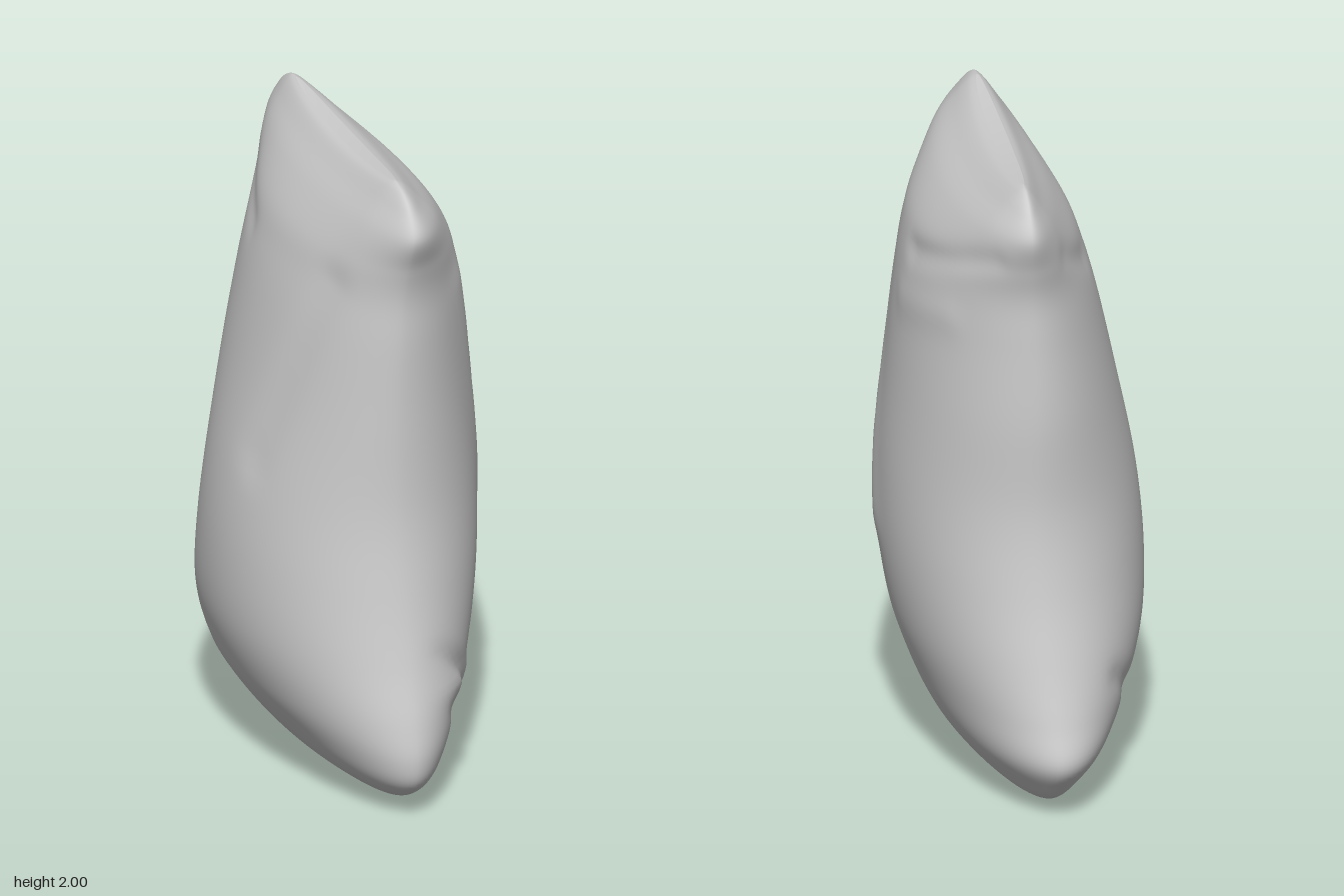
import * as THREE from 'three';

// Outline by height: [y, +x reach, -x reach, +z reach, -z reach]
const ROWS = [
  [0, 0.03, 0.03, 0.33, 0.33],
  [0.012, 0.07, 0.07, 0.44, 0.43],
  [0.045, 0.125, 0.13, 0.59, 0.57],
  [0.105, 0.19, 0.205, 0.685, 0.645],
  [0.19, 0.25, 0.275, 0.712, 0.7],
  [0.31, 0.305, 0.345, 0.695, 0.67],
  [0.48, 0.36, 0.395, 0.65, 0.62],
  [0.7, 0.392, 0.402, 0.605, 0.565],
  [0.95, 0.393, 0.376, 0.572, 0.532],
  [1.25, 0.367, 0.315, 0.568, 0.54],
  [1.5, 0.34, 0.26, 0.572, 0.533],
  [1.65, 0.317, 0.218, 0.575, 0.532],
  [1.76, 0.285, 0.18, 0.598, 0.555],
  [1.87, 0.215, 0.115, 0.635, 0.583],
  [1.945, 0.135, 0.055, 0.585, 0.54],
  [1.985, 0.085, 0.02, 0.52, 0.48],
  [2, 0.05, -0.005, 0.45, 0.42],
];

// Shallow creases: [side, z0, y0, z1, y1, width, push along x]
const FOLDS = [
  [1, 0.61, 0.5, 0.46, 0.35, 0.03, -0.018],
  [1, 0.62, 0.38, 0.3, 0.33, 0.04, 0.014],
  [1, 0.56, 0.3, 0.42, 0.22, 0.035, -0.012],
  [1, -0.08, 1.66, -0.5, 1.78, 0.04, -0.012],
  [1, -0.05, 1.5, -0.35, 1.55, 0.05, 0.006],
  [1, 0.36, 1.6, 0.1, 0.75, 0.08, 0.012],
  [-1, -0.5, 0.4, -0.3, 0.28, 0.04, -0.012],
  [-1, 0.38, 1.65, 0.2, 1.05, 0.07, -0.01],
  [-1, -0.2, 1.65, -0.42, 1.75, 0.045, -0.008],
];

// Cubic interpolation of the outline
function outline(t) {
  const f = t * (ROWS.length - 1);
  const i = Math.min(Math.floor(f), ROWS.length - 2);
  const u = f - i;
  const at = (k) => ROWS[Math.max(0, Math.min(ROWS.length - 1, k))];
  return ROWS[0].map((_, c) => {
    const [a, b, d, e] = [at(i - 1)[c], at(i)[c], at(i + 1)[c], at(i + 2)[c]];
    return b + 0.5 * u * (d - a + u * (2 * a - 5 * b + 4 * d - e + u * (3 * (b - d) + e - a)));
  });
}

// Smooth bump around a line across one broad side
function foldOffset(side, z, y) {
  let sum = 0;
  for (const [s, z0, y0, z1, y1, width, push] of FOLDS) {
    if (s !== side) continue;
    const dz = z1 - z0, dy = y1 - y0;
    const k = THREE.MathUtils.clamp(((z - z0) * dz + (y - y0) * dy) / (dz * dz + dy * dy), 0, 1);
    const d = Math.hypot(z - z0 - k * dz, y - y0 - k * dy);
    sum += push * Math.exp(-((d / width) ** 2));
  }
  return sum;
}

// Stack of rounded lens-shaped loops closed along the top and bottom seams
function cushionGeometry(levels = 112, around = 96) {
  const pos = [], index = [];
  for (let j = 0; j <= levels; j++) {
    const [y, right, left, front, back] = outline(j / levels);
    const seamX = 0.025 * THREE.MathUtils.smoothstep(y, 1.2, 2);
    for (let i = 0; i < around; i++) {
      const a = (i / around) * Math.PI * 2;
      const s = Math.sin(a), c = Math.cos(a);
      const z = (front - back) / 2 + ((front + back) / 2) * c;
      const side = s >= 0 ? 1 : -1;
      const reach = side > 0 ? right - seamX : left + seamX;
      let x = seamX + side * reach * Math.abs(s) ** 1.08;
      // Back lower corner leans to one side
      x -= 0.05 * (1 - THREE.MathUtils.smoothstep(y, 0.2, 1)) * Math.max(0, -z / 0.7) ** 2;
      x += side * foldOffset(side, z, y) * Math.min(1, Math.abs(s) * 1.5);
      // Top seam sags between the corners
      const sag = 0.025 * THREE.MathUtils.smoothstep(y, 1.6, 2) * Math.max(0, 1 - (z / 0.45) ** 2);
      pos.push(x, y - sag, z);
    }
  }
  for (let j = 0; j < levels; j++) {
    for (let i = 0; i < around; i++) {
      const n = (i + 1) % around;
      const a = j * around + i, b = j * around + n;
      const d = a + around, e = b + around;
      index.push(a, b, d, b, e, d);
    }
  }
  // Seam caps, bridged straight across from side to side
  const top = levels * around;
  for (let i = 0; i < around / 2; i++) {
    const n = i + 1, m = around - i - 1, k = (around - i) % around;
    if (n !== m) index.push(n, i, m, top + i, top + n, top + m);
    if (i !== k) index.push(m, i, k, top + i, top + m, top + k);
  }
  const geo = new THREE.BufferGeometry();
  geo.setAttribute('position', new THREE.Float32BufferAttribute(pos, 3));
  geo.setIndex(index);
  geo.computeVertexNormals();
  return geo;
}

export function createModel() {
  const group = new THREE.Group();
  group.name = 'cushion';
  const fabric = new THREE.MeshStandardMaterial({ color: 0xcccccc });
  fabric.name = 'grey fabric';
  const body = new THREE.Mesh(cushionGeometry(), fabric);
  body.name = 'cushionBody';
  group.add(body);
  return group;
}
